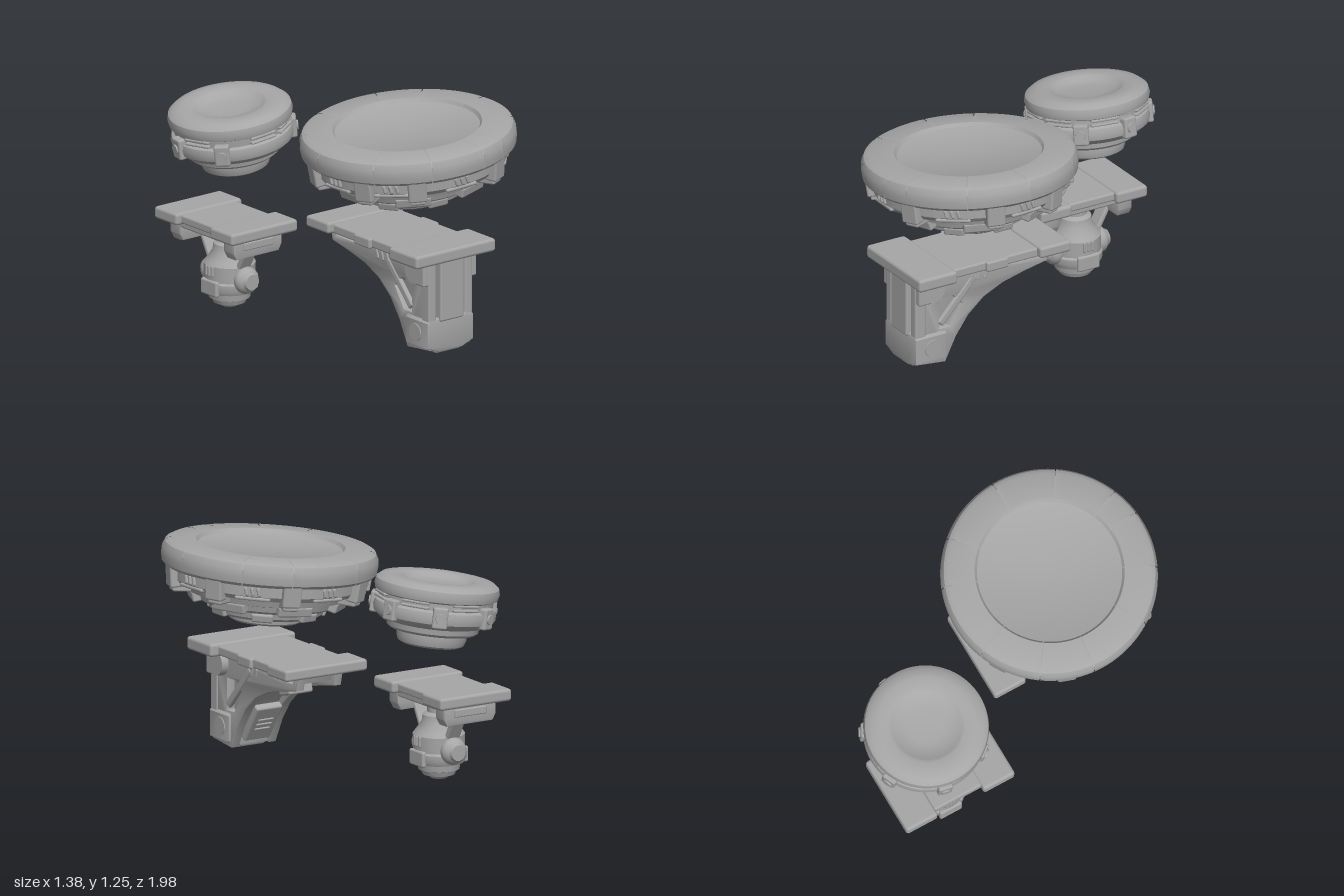
import * as THREE from 'three';
import { toCreasedNormals } from 'three/addons/utils/BufferGeometryUtils.js';
import { RoundedBoxGeometry } from 'three/addons/geometries/RoundedBoxGeometry.js';

const grey = new THREE.MeshStandardMaterial({ color: 0xa6a6a6 });
grey.name = 'plain grey';

function add(parent, name, geo, x = 0, y = 0, z = 0) {
  const m = new THREE.Mesh(geo, grey);
  m.name = name;
  m.position.set(x, y, z);
  parent.add(m);
  return m;
}
const box = (w, h, d, r = 0.012) => new RoundedBoxGeometry(w, h, d, 2, Math.min(r, w / 2.1, h / 2.1, d / 2.1));
const lathe = (pts, seg = 64, start = 0, len = Math.PI * 2) => toCreasedNormals(
  new THREE.LatheGeometry(pts.map(p => new THREE.Vector2(p[0], p[1])), seg, start, len), 0.6);

// Side profile given as (z, y) points, extruded along x and centred on it
function profileX(pts, width, holes = [], bevel = 0.008) {
  const s = new THREE.Shape(pts.map(p => new THREE.Vector2(p[0], p[1])));
  for (const h of holes) s.holes.push(new THREE.Path(h.map(p => new THREE.Vector2(p[0], p[1]))));
  const depth = width - 2 * bevel;
  const g = new THREE.ExtrudeGeometry(s, { depth, bevelSize: bevel, bevelOffset: -bevel, bevelThickness: bevel, bevelSegments: 2 });
  g.translate(0, 0, -depth / 2).rotateY(-Math.PI / 2);
  return toCreasedNormals(g, 0.6);
}

// Part standing on the side of a round body, turned to face outwards
function radial(parent, name, geo, phi, r, y, tilt = 0, roll = 0) {
  const m = add(parent, name, geo, Math.sin(phi) * r, y, Math.cos(phi) * r);
  m.rotation.set(tilt, phi, roll, 'YXZ');
  return m;
}

function largeDisc() {
  const g = new THREE.Group();
  g.name = 'largeDisc';
  g.position.set(0.095, 1.205, 0.385);
  g.rotation.z = 0.085;

  // Stepped underside, core and sunken top
  add(g, 'largeBody', lathe([
    [0, -0.425], [0.12, -0.425], [0.14, -0.412], [0.15, -0.432], [0.185, -0.432], [0.205, -0.42], [0.21, -0.392],
    [0.235, -0.385], [0.29, -0.385], [0.315, -0.37], [0.325, -0.335], [0.37, -0.33], [0.395, -0.315], [0.405, -0.285],
    [0.45, -0.275], [0.465, -0.235], [0.52, -0.23], [0.54, -0.205], [0.545, -0.125],
    [0.588, -0.125], [0.59, -0.05], [0.55, -0.016], [0.42, -0.01], [0.395, -0.022], [0, -0.024],
  ], 72));

  // Rim plates divided by narrow seams
  const seams = [-2.761, -2.173, -1.66, -1.005, -0.452, 0.106, 0.392, 0.995, 1.616, 2.306, 2.786, -2.761 + Math.PI * 2];
  const rim = [[0.54, -0.142], [0.58, -0.142], [0.597, -0.125], [0.602, -0.09], [0.6, -0.05], [0.585, -0.018],
    [0.56, -0.004], [0.415, 0], [0.398, -0.024]];
  for (let i = 0; i < seams.length - 1; i++) {
    const len = seams[i + 1] - seams[i];
    add(g, 'rimPlate', lathe(rim, Math.ceil(len * 14), seams[i] + 0.005, len - 0.01));
  }

  // Clamps hooked under the rim
  for (const phi of [-0.6, -1.15, 0.38, 1.27, 2.0, 2.8, -1.9, -2.6]) {
    radial(g, 'rimClamp', box(0.105, 0.14, 0.07), phi, 0.545, -0.18, 0.12);
    radial(g, 'clampFoot', box(0.085, 0.05, 0.12), phi, 0.495, -0.25);
  }
  // Raised panels and slot ribs between clamps
  for (const phi of [-0.87, -0.11, 0.83, 1.64, 2.4, -1.53, -2.25, 3.24]) {
    for (const k of [-1, 0, 1]) {
      const slot = new THREE.CapsuleGeometry(0.011, 0.03, 3, 8);
      radial(g, 'slotRib', slot, phi + k * 0.065, 0.543, -0.178, 0, 0.25);
    }
    radial(g, 'bandPanel', box(0.2, 0.022, 0.04), phi, 0.52, -0.218);
  }
  // Blocks on the lower steps
  for (let i = 0; i < 7; i++) {
    const phi = 0.25 + i * Math.PI * 2 / 7;
    radial(g, 'stepBlock', box(0.2, 0.06, 0.08), phi, 0.395, -0.295, 0.25);
    radial(g, 'lowerBlock', box(0.12, 0.05, 0.06), phi + 0.45, 0.3, -0.36, 0.25);
  }
  return g;
}

function smallDisc() {
  const g = new THREE.Group();
  g.name = 'smallDisc';
  g.position.set(-0.34, 1.165, -0.645);
  g.rotation.z = 0.14;
  add(g, 'smallBody', lathe([
    [0, -0.385], [0.08, -0.383], [0.145, -0.37], [0.16, -0.378], [0.185, -0.365], [0.195, -0.335], [0.195, -0.305],
    [0.235, -0.3], [0.255, -0.285], [0.26, -0.255], [0.3, -0.245], [0.335, -0.215], [0.343, -0.18],
    [0.335, -0.15], [0.318, -0.14], [0.32, -0.1], [0.342, -0.09], [0.349, -0.06], [0.342, -0.03],
    [0.315, -0.008], [0.27, 0], [0.215, -0.002], [0.195, -0.008], [0.17, -0.028], [0.1, -0.036], [0, -0.038],
  ], 64));
  // Knobs and clamps on the lower ring
  for (const phi of [-0.85, 0.9, 2.65, -1.75, 1.75, -2.7]) {
    radial(g, 'ringClamp', box(0.085, 0.12, 0.06), phi, 0.328, -0.175);
    const knob = new THREE.CylinderGeometry(0.028, 0.034, 0.03, 8).rotateX(Math.PI / 2);
    radial(g, 'ringKnob', knob, phi, 0.352, -0.175);
  }
  // Paired louvres under the rim
  for (const phi of [-1.3, -0.1, 0.5, 1.32, 2.2, 3.1]) for (const y of [-0.128, -0.103])
    radial(g, 'louvre', box(0.16, 0.014, 0.05, 0.006), phi, 0.31, y);
  return g;
}

function largeConsole() {
  const g = new THREE.Group();
  g.name = 'largeConsole';
  g.position.x = 0.0625;
  // Shelf: two wide end bars and a lower, narrower slab
  add(g, 'shelfFrontBar', box(0.565, 0.075, 0.25, 0.018), 0, 0.576, 0.735);
  add(g, 'shelfSlab', box(0.46, 0.055, 0.72), 0, 0.572, 0.34);
  add(g, 'shelfMidBar', box(0.5, 0.06, 0.14), 0, 0.57, 0.33);
  add(g, 'shelfBackBar', box(0.54, 0.065, 0.2, 0.016), 0, 0.58, -0.035);

  // Curved support: side ribs with openings around a solid web
  const arc = [[0.59, 0.05], [0.54, 0.15], [0.46, 0.26], [0.36, 0.345], [0.24, 0.4], [0.1, 0.435], [-0.05, 0.465], [-0.07, 0.55]];
  const rib = [[0.8, 0.55], [0.8, 0.03], [0.61, 0.01], ...arc];
  const hole = [[0.65, 0.22], [0.65, 0.4], [0.56, 0.4], [0.5, 0.34], [0.58, 0.22]];
  const window = [[0.18, 0.5], [0.18, 0.525], [-0.02, 0.525], [-0.01, 0.5]];
  for (const s of [-1, 1]) {
    add(g, 'sideRib', profileX(rib, 0.055, [hole, window]), s * 0.122);
    // Pivots, strut, post sleeve and slots on each side
    add(g, 'upperPivot', new THREE.CylinderGeometry(0.072, 0.08, 0.07, 24).rotateZ(-s * Math.PI / 2), s * 0.155, 0.48, 0.71);
    add(g, 'lowerPivot', new THREE.CylinderGeometry(0.05, 0.058, 0.04, 20).rotateZ(-s * Math.PI / 2), s * 0.148, 0.12, 0.7);
    add(g, 'post', box(0.055, 0.36, 0.07), s * 0.128, 0.37, 0.775);
    add(g, 'postSleeve', box(0.07, 0.13, 0.1), s * 0.155, 0.47, 0.755);
    add(g, 'strut', box(0.03, 0.34, 0.045), s * 0.14, 0.37, 0.53).rotation.x = -0.75;
    for (let i = 0; i < 3; i++)
      add(g, 'ribSlot', box(0.014, 0.055, 0.018, 0.006), s * 0.15, 0.485, 0.35 + i * 0.045).rotation.x = -0.3;
  }
  const web = [[0.77, 0.55], [0.77, 0.04], [0.61, 0.04], ...arc.map(([z, y]) => [z + 0.02, Math.min(y + 0.03, 0.55)])];
  add(g, 'centreWeb', profileX(web, 0.2));
  add(g, 'frontPanel', box(0.165, 0.36, 0.07), 0, 0.37, 0.79);
  // Foot with clipped lower corners
  const foot = new THREE.Shape([[-0.163, 0.045], [-0.08, 0.012], [0.08, 0.012], [0.163, 0.045], [0.163, 0.19], [0.145, 0.21],
    [-0.145, 0.21], [-0.163, 0.19]].map(p => new THREE.Vector2(p[0], p[1])));
  const footGeo = new THREE.ExtrudeGeometry(foot, { depth: 0.18, bevelSize: 0.012, bevelOffset: -0.012, bevelThickness: 0.012, bevelSegments: 2 });
  add(g, 'foot', toCreasedNormals(footGeo, 0.6), 0, 0, 0.62);
  add(g, 'footBase', box(0.18, 0.03, 0.16), 0, 0.015, 0.71);
  // Vented plate and block under the arc
  const vent = new THREE.Group();
  vent.name = 'ventPlate';
  vent.position.set(0, 0.16, 0.525);
  vent.rotation.x = -0.58;
  add(vent, 'plate', box(0.17, 0.25, 0.045));
  for (let i = -1; i < 2; i++) add(vent, 'ventBar', box(0.1, 0.016, 0.012, 0.005), 0, i * 0.035, -0.024);
  g.add(vent);
  add(g, 'arcBlock', box(0.16, 0.07, 0.11), 0, 0.42, 0.185).rotation.x = 0.25;
  return g;
}

function smallConsole() {
  const g = new THREE.Group();
  g.name = 'smallConsole';
  g.position.set(-0.4, 0, -0.595);
  // Shelf
  for (const s of [-1, 1]) add(g, 'shelfBar', box(0.47, 0.07, 0.2, 0.018), 0, 0.516, s * 0.245);
  add(g, 'shelfSlab', box(0.4, 0.05, 0.4), 0, 0.515, 0);
  // Tapered trays with a raised panel, and struts to the pod
  const tray = new THREE.Shape([[-0.15, 0.37], [0.15, 0.37], [0.172, 0.41], [0.172, 0.49], [-0.172, 0.49], [-0.172, 0.41]]
    .map(p => new THREE.Vector2(p[0], p[1])));
  const trayGeo = toCreasedNormals(new THREE.ExtrudeGeometry(tray,
    { depth: 0.07, bevelSize: 0.012, bevelOffset: -0.012, bevelThickness: 0.012, bevelSegments: 2 }).translate(0, 0, -0.035), 0.6);
  for (const s of [-1, 1]) {
    add(g, 'tray', trayGeo, 0, 0, s * 0.235);
    add(g, 'trayPanel', box(0.21, 0.045, 0.016, 0.007), 0, 0.44, s * 0.283);
    add(g, 'sideRail', box(0.05, 0.04, 0.44), s * 0.145, 0.47, 0);
    add(g, 'strut', box(0.09, 0.17, 0.03), 0.02, 0.335, s * 0.165).rotation.x = s * 0.5;
  }
  // Round pod
  const pod = new THREE.Group();
  pod.name = 'pod';
  pod.position.x = 0.025;
  g.add(pod);
  add(pod, 'podBody', lathe([
    [0, 0.01], [0.045, 0.013], [0.06, 0.03], [0.09, 0.035], [0.1, 0.06], [0.115, 0.065], [0.12, 0.1], [0.14, 0.105],
    [0.152, 0.13], [0.152, 0.165], [0.143, 0.175], [0.145, 0.265], [0.13, 0.285], [0.095, 0.335], [0.09, 0.375], [0.065, 0.39], [0.065, 0.5], [0, 0.5],
  ], 40));
  for (const s of [-1, 1]) {
    add(pod, 'podKnob', new THREE.SphereGeometry(0.077, 24, 16).scale(1, 1, 0.72), 0, 0.19, s * 0.147);
    add(pod, 'podKnobCap', new THREE.CylinderGeometry(0.045, 0.055, 0.02, 20).rotateX(s * Math.PI / 2), 0, 0.19, s * 0.193);
    add(pod, 'podSide', box(0.03, 0.09, 0.14), s * 0.138, 0.14, 0);
    for (let k = -1; k < 2; k++)
      radial(pod, 'podSlot', new THREE.CapsuleGeometry(0.009, 0.045, 3, 8), s * Math.PI / 2 + k * 0.18, 0.144, 0.235);
  }
  return g;
}

export function createModel() {
  const model = new THREE.Group();
  model.name = 'floatingDiscsAndConsoles';
  model.add(largeDisc(), smallDisc(), largeConsole(), smallConsole());
  return model;
}
